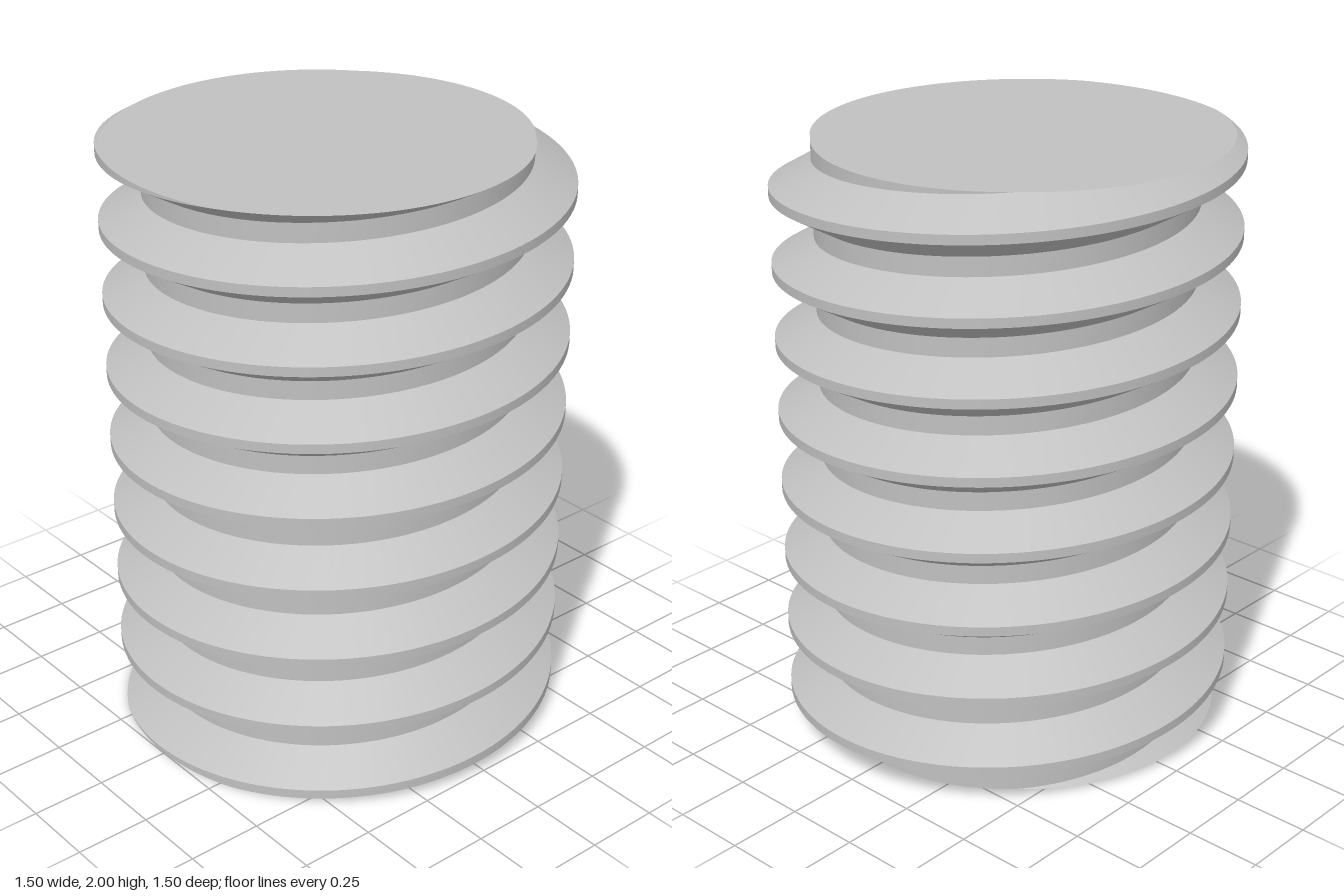
import * as THREE from 'three';

const HEIGHT = 2, PITCH = 0.25, CREST = 0.748, ROOT = 0.612;
const STEPS = 128; // columns per turn
const START = PITCH / 2; // height of the crest centre at angle 0 (+x)

// One pitch of the thread as [offset from crest centre, radius]
const profile = [
  [-3 / 8, ROOT], [-1 / 16, CREST], [1 / 16, CREST], [3 / 8, ROOT], [5 / 8, ROOT],
].map(([t, r]) => [t * PITCH, r]);
const names = ['threadLowerFlank', 'threadCrest', 'threadUpperFlank', 'threadRoot'];

// Helical ribbon between two profile points, cut flat at the bottom and top
function ribbon([lo, rLo], [hi, rHi]) {
  const first = Math.round((-START - hi) / PITCH * STEPS);
  const last = Math.round((HEIGHT - START - lo) / PITCH * STEPS);
  const pos = [], index = [];
  for (let i = first; i <= last; i++) {
    const a = i / STEPS * Math.PI * 2;
    const centre = START + PITCH * i / STEPS;
    for (const edge of [lo, hi]) {
      const y = THREE.MathUtils.clamp(centre + edge, 0, HEIGHT);
      const r = THREE.MathUtils.mapLinear(y - centre, lo, hi, rLo, rHi);
      pos.push(r * Math.cos(a), y, -r * Math.sin(a));
    }
    if (i < last) {
      const k = (i - first) * 2;
      index.push(k, k + 2, k + 3, k, k + 3, k + 1);
    }
  }
  const g = new THREE.BufferGeometry();
  g.setAttribute('position', new THREE.Float32BufferAttribute(pos, 3));
  g.setIndex(index);
  g.computeVertexNormals();
  return g;
}

// Thread radius at an angle and height
function radiusAt(a, y) {
  const raw = y - START - PITCH * a / (Math.PI * 2) - profile[0][0];
  const t = THREE.MathUtils.euclideanModulo(raw, PITCH) + profile[0][0];
  for (let i = 0; i < 4; i++) {
    const [lo, rLo] = profile[i], [hi, rHi] = profile[i + 1];
    if (t <= hi) return THREE.MathUtils.mapLinear(t, lo, hi, rLo, rHi);
  }
  return ROOT;
}

// Flat end: a disc whose rim follows the cut thread
function endCap(y, tilt) {
  const g = new THREE.CircleGeometry(1, STEPS).rotateX(tilt);
  const p = g.attributes.position;
  for (let i = 1; i < p.count; i++) {
    const x = p.getX(i), z = p.getZ(i);
    const r = radiusAt(Math.atan2(-z, x), y);
    p.setXYZ(i, x * r, 0, z * r);
  }
  return g.translate(0, y, 0);
}

export function createModel() {
  const steel = new THREE.MeshStandardMaterial({ color: 0xc0c0c0 });
  steel.name = 'light grey steel';
  const group = new THREE.Group();
  group.name = 'threadedRod';
  const add = (name, geometry) => {
    const mesh = new THREE.Mesh(geometry, steel);
    mesh.name = name;
    group.add(mesh);
  };
  names.forEach((name, i) => add(name, ribbon(profile[i], profile[i + 1])));
  add('topFace', endCap(HEIGHT, -Math.PI / 2));
  add('bottomFace', endCap(0, Math.PI / 2));
  return group;
}
